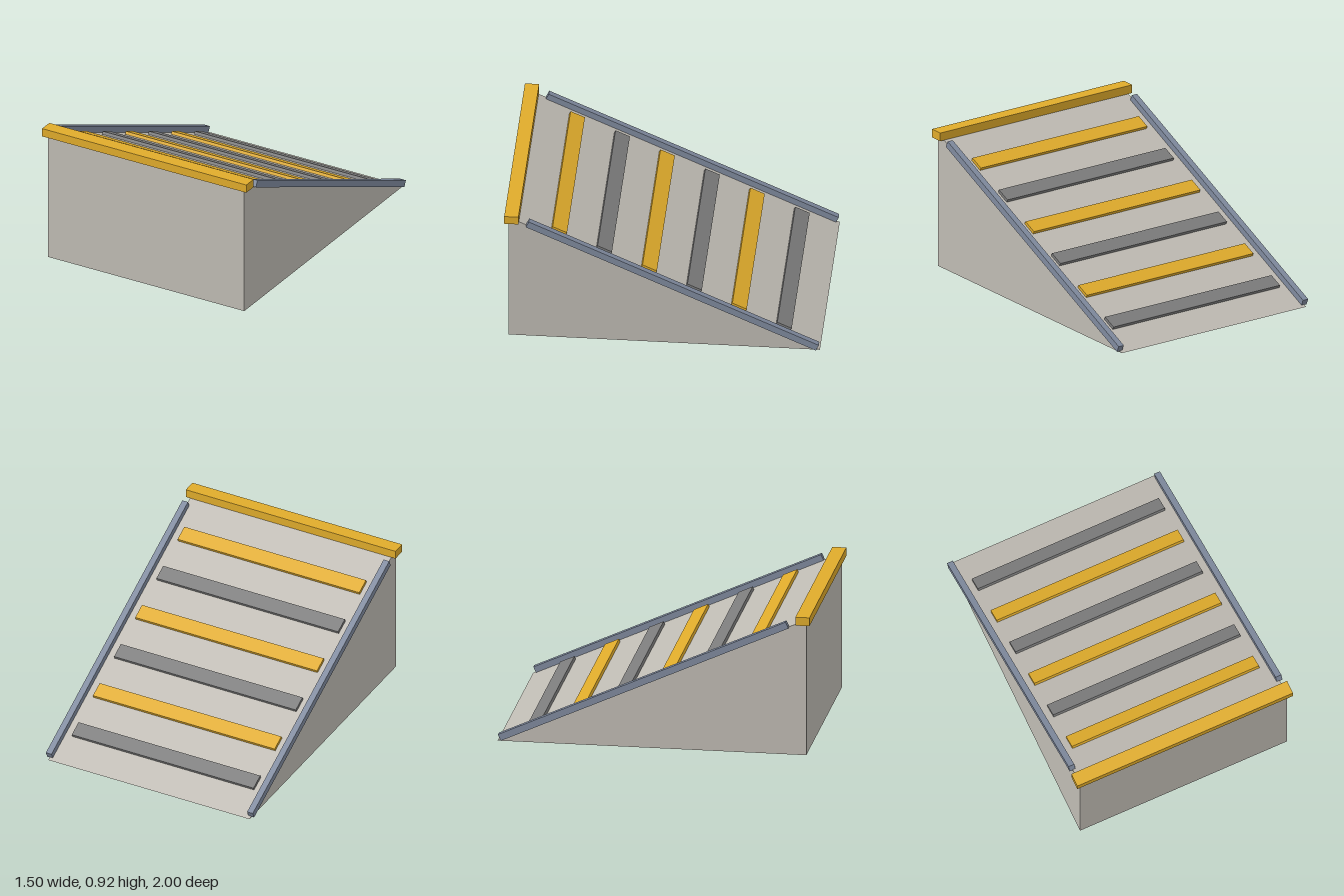
import * as THREE from 'three';

const paint = (color) => new THREE.MeshStandardMaterial({ color });

export function createModel() {
  const model = new THREE.Group();
  const concrete = paint(0xbfbbb3);
  const yellow = paint(0xdfab2b);
  const grey = paint(0x7c7c7c);
  const steel = paint(0x7f8a9e);

  const backZ = -1, frontZ = 0.975, height = 0.895, halfWidth = 0.72;
  const slope = Math.atan2(height, frontZ - backZ);

  function box(name, w, h, d, material, parent) {
    const mesh = new THREE.Mesh(new THREE.BoxGeometry(w, h, d), material);
    mesh.name = name;
    parent.add(mesh);
    return mesh;
  }

  // Solid wedge: side profile drawn in (-z, y), extruded across the width
  const profile = new THREE.Shape([
    new THREE.Vector2(-frontZ, 0),
    new THREE.Vector2(-backZ, 0),
    new THREE.Vector2(-frontZ, height),
  ]);
  const wedgeGeometry = new THREE.ExtrudeGeometry(profile, { depth: halfWidth * 2, bevelEnabled: false });
  wedgeGeometry.translate(0, 0, -halfWidth).rotateY(Math.PI / 2);
  const wedge = new THREE.Mesh(wedgeGeometry, concrete);
  wedge.name = 'rampBody';
  model.add(wedge);

  // Group lying on the slope: local z runs uphill from the foot, local y is the surface normal
  const surface = new THREE.Group();
  surface.name = 'rampSurface';
  surface.position.z = backZ;
  surface.rotation.x = -slope;
  model.add(surface);

  // Edge rails, sunk slightly into the surface
  for (const side of [-1, 1]) {
    const rail = box(side > 0 ? 'leftRail' : 'rightRail', 0.04, 0.045, 2.02, steel, surface);
    rail.position.set(side * 0.72, 0.018, 1.034);
  }

  // Grip strips in alternating colours
  for (let i = 0; i < 6; i++) {
    const strip = box(`gripStrip${i + 1}`, 1.3, 0.03, 0.1, i % 2 ? yellow : grey, surface);
    strip.position.set(0, 0.005, 0.262 + i * 0.313);
  }

  // Bar along the top edge
  box('topBar', 1.5, 0.055, 0.09, yellow, model).position.set(0, 0.8925, 0.955);

  return model;
}
